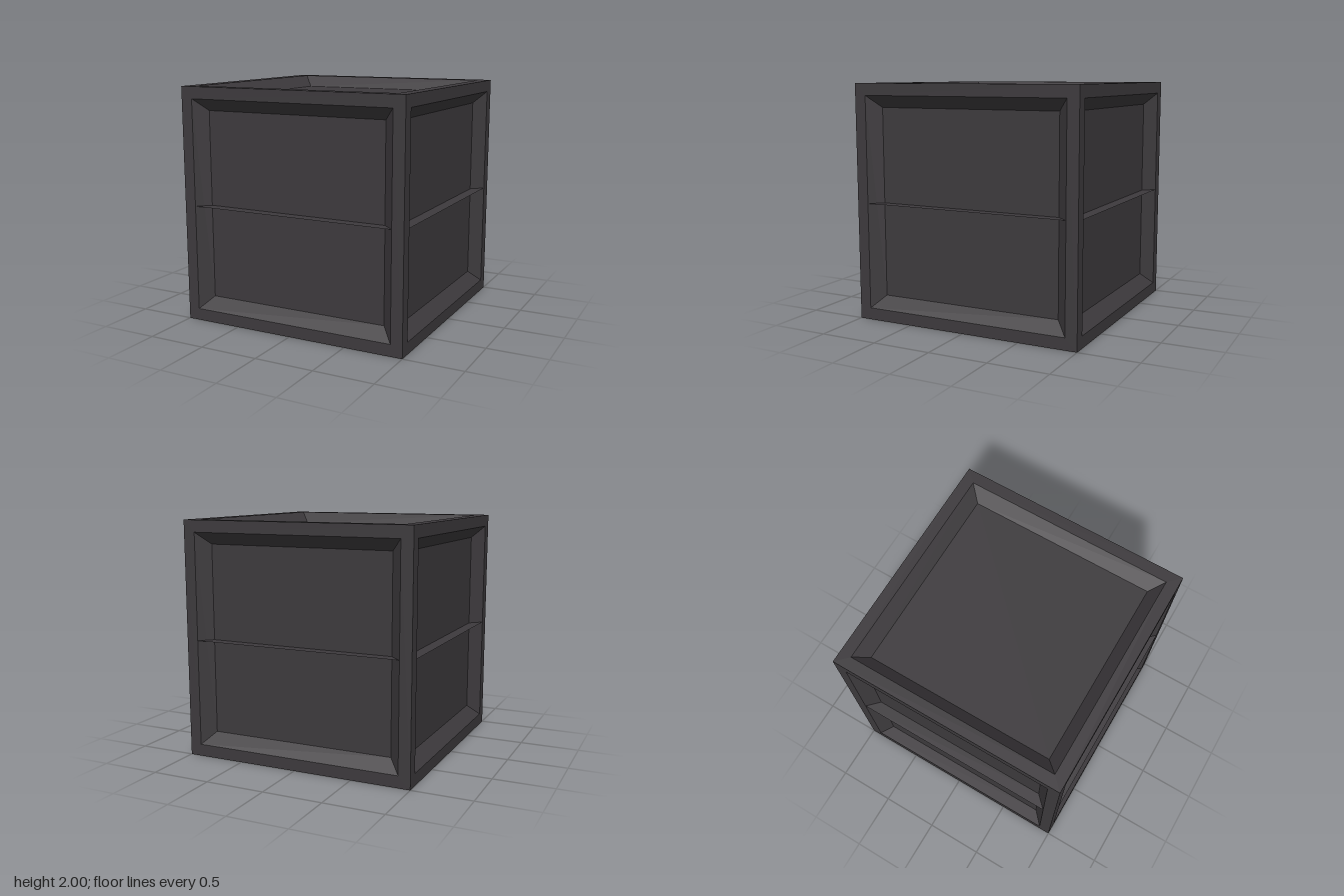
import * as THREE from 'three';

const material = new THREE.MeshStandardMaterial({ color: 0x3d3a3d, flatShading: true });
const shelfMaterial = new THREE.MeshStandardMaterial({ color: 0x3d3a3d, side: THREE.DoubleSide });

// Band between two concentric squares, each given as [half size, height along z]
function squareBand([outer, zOuter], [inner, zInner]) {
  const corners = [[-1, -1], [1, -1], [1, 1], [-1, 1]];
  const positions = [];
  const index = [];
  corners.forEach(([x, y], i) => {
    const [nx, ny] = corners[(i + 1) % 4];
    positions.push(
      x * outer, y * outer, zOuter, nx * outer, ny * outer, zOuter,
      nx * inner, ny * inner, zInner, x * inner, y * inner, zInner
    );
    const k = i * 4;
    index.push(k, k + 1, k + 2, k, k + 2, k + 3);
  });
  const geometry = new THREE.BufferGeometry();
  geometry.setAttribute('position', new THREE.Float32BufferAttribute(positions, 3));
  geometry.setIndex(index);
  geometry.computeVertexNormals();
  return geometry;
}

function addMesh(parent, name, geometry, mat = material) {
  const mesh = new THREE.Mesh(geometry, mat);
  mesh.name = name;
  parent.add(mesh);
  return mesh;
}

const frameGeometry = squareBand([1, 1], [0.9, 1]);
const bevelGeometry = squareBand([0.9, 1], [0.8, 0.9]);
const panelGeometry = new THREE.PlaneGeometry(1.6, 1.6).translate(0, 0, 0.9);

// Thin ledge filling the recess at mid height
const ledgeShape = new THREE.Shape([
  new THREE.Vector2(-0.9, -1), new THREE.Vector2(0.9, -1),
  new THREE.Vector2(0.8, -0.9), new THREE.Vector2(-0.8, -0.9),
]);
const ledgeGeometry = new THREE.ShapeGeometry(ledgeShape).rotateX(-Math.PI / 2);

// One cube side: flat rim, sloped recess and sunken panel
function createSide(name, withLedge) {
  const side = new THREE.Group();
  side.name = name;
  addMesh(side, 'rim', frameGeometry);
  addMesh(side, 'recessSlope', bevelGeometry);
  addMesh(side, 'sunkenPanel', panelGeometry);
  if (withLedge) addMesh(side, 'ledge', ledgeGeometry, shelfMaterial);
  return side;
}

export function createModel() {
  const model = new THREE.Group();
  model.name = 'panelledCube';

  // Four upright sides
  ['frontSide', 'leftSide', 'backSide', 'rightSide'].forEach((name, i) => {
    const side = createSide(name, true);
    side.rotation.y = (i * Math.PI) / 2;
    side.position.y = 1;
    model.add(side);
  });

  // Top and bottom
  [['topSide', -1], ['bottomSide', 1]].forEach(([name, sign]) => {
    const side = createSide(name, false);
    side.rotation.x = (sign * Math.PI) / 2;
    side.position.y = 1;
    model.add(side);
  });

  return model;
}
